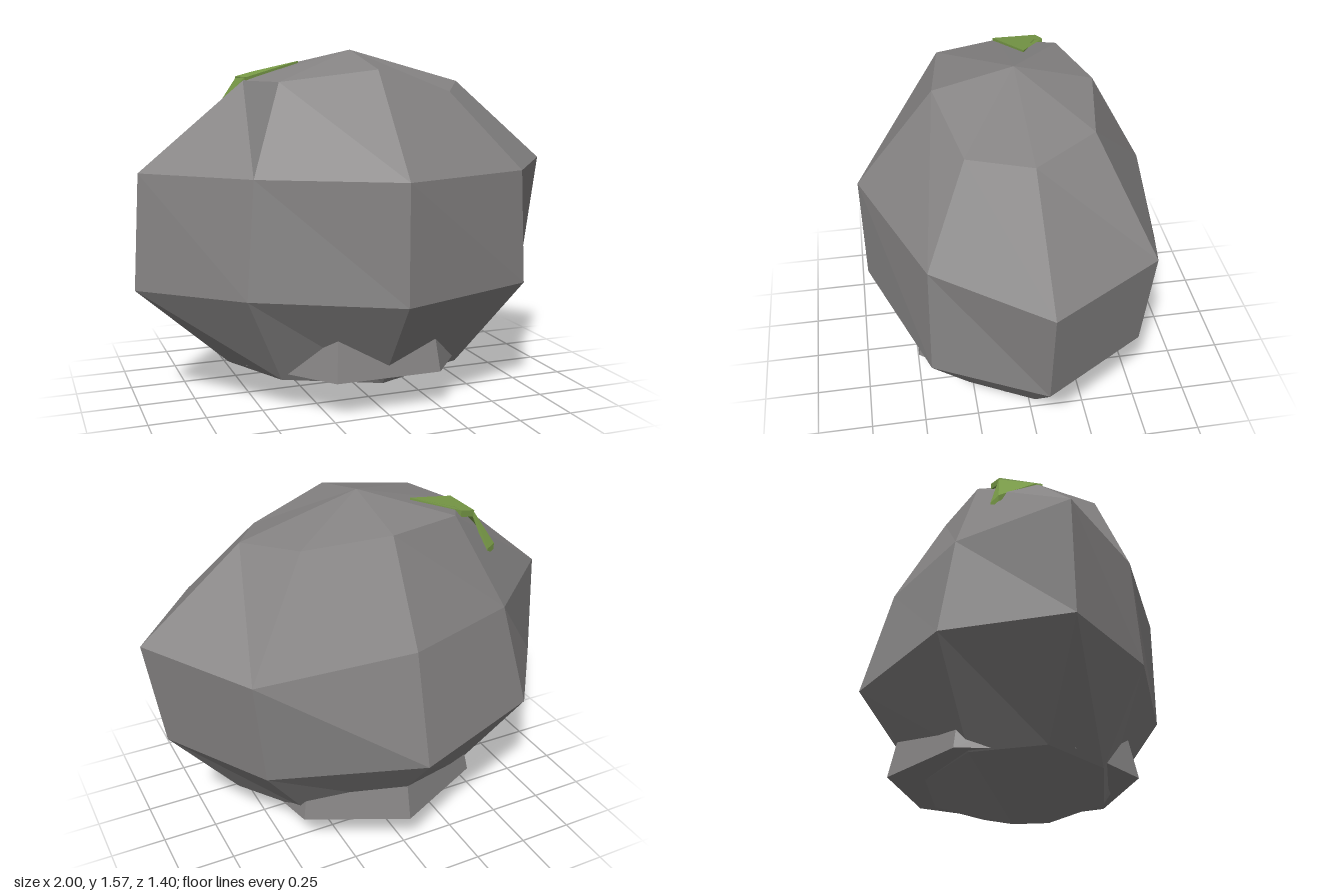
import * as THREE from 'three';

const stone = new THREE.MeshStandardMaterial({ color: 0x858383 });
stone.name = 'stone grey';
const green = new THREE.MeshStandardMaterial({ color: 0x7a9c48 });
green.name = 'leaf green';

// Non-indexed geometry from a list of triangles gives flat facets
function facets(tris) {
  const g = new THREE.BufferGeometry();
  g.setAttribute('position', new THREE.Float32BufferAttribute(tris.flat(2), 3));
  g.computeVertexNormals();
  return g;
}

function addMesh(group, name, geometry, material) {
  const mesh = new THREE.Mesh(geometry, material);
  mesh.name = name;
  group.add(mesh);
  return mesh;
}

// Boulder: four irregular eight-point rings between two poles.
// Ring order: -x, front -x, front, front +x, +x, back +x, back, back -x
function boulderGeometry() {
  const rings = [
    [[-0.5, 1.43, 0], [-0.42, 1.43, 0.29], [0, 1.48, 0.35], [0.38, 1.38, 0.26],
      [0.54, 1.42, 0], [0.38, 1.455, -0.27], [0, 1.478, -0.34], [-0.35, 1.47, -0.25]],
    [[-0.97, 1.04, 0], [-0.56, 1.04, 0.39], [0, 1.04, 0.7], [0.65, 1.037, 0.45],
      [1, 1.04, 0], [0.69, 1.015, -0.48], [0, 1.05, -0.57], [-0.55, 1.045, -0.38]],
    [[-1, 0.525, 0], [-0.6, 0.535, 0.41], [0, 0.525, 0.7], [0.67, 0.527, 0.46],
      [0.93, 0.553, 0], [0.64, 0.535, -0.45], [0, 0.555, -0.7], [-0.65, 0.565, -0.46]],
    [[-0.59, 0.157, 0], [-0.42, 0.14, 0.28], [0, 0.12, 0.42], [0.42, 0.135, 0.28],
      [0.62, 0.187, 0], [0.4, 0.17, -0.28], [0, 0.17, -0.39], [-0.41, 0.165, -0.28]],
  ];
  const top = [0, 1.565, 0], bottom = [0, 0, 0];
  const tris = [];
  for (let i = 0; i < 8; i++) {
    const j = (i + 1) % 8;
    tris.push([top, rings[0][i], rings[0][j]]);
    for (let r = 0; r < 3; r++) {
      const a = rings[r], b = rings[r + 1];
      tris.push([a[j], a[i], b[j]], [a[i], b[i], b[j]]);
    }
    tris.push([bottom, rings[3][j], rings[3][i]]);
  }
  return facets(tris);
}

// Leaf slab: a polygon (counter-clockwise from outside) thickened downwards
function slabGeometry(points, depth) {
  const low = points.map(([x, y, z]) => [x, y - depth, z]);
  const n = points.length;
  const tris = [];
  for (let i = 1; i < n - 1; i++) {
    tris.push([points[0], points[i], points[i + 1]], [low[0], low[i + 1], low[i]]);
  }
  for (let i = 0; i < n; i++) {
    const j = (i + 1) % n;
    tris.push([points[i], low[i], low[j]], [points[i], low[j], points[j]]);
  }
  return facets(tris);
}

export function createModel() {
  const model = new THREE.Group();
  model.name = 'mossyBoulder';

  addMesh(model, 'boulder', boulderGeometry(), stone);

  // Seven-sided base stone with a flat side to the front
  const base = new THREE.CylinderGeometry(0.512, 0.555, 0.2, 7).rotateY(Math.PI / 7).toNonIndexed();
  base.computeVertexNormals();
  addMesh(model, 'baseStone', base, stone).position.y = 0.27;

  // Leaf folded over the upper edge of the boulder
  const leaf = new THREE.Group();
  leaf.name = 'leaf';
  model.add(leaf);
  addMesh(leaf, 'upperLeaf', slabGeometry([
    [-0.22, 1.515, -0.08], [-0.4, 1.47, -0.16], [-0.41, 1.465, -0.2],
    [-0.49, 1.445, -0.18], [-0.49, 1.445, 0.02],
  ], 0.03), green);
  addMesh(leaf, 'lowerLeaf', slabGeometry([
    [-0.485, 1.444, -0.18], [-0.54, 1.27, -0.23], [-0.59, 1.28, -0.205], [-0.49, 1.444, -0.01],
  ], 0.03), green);

  return model;
}
